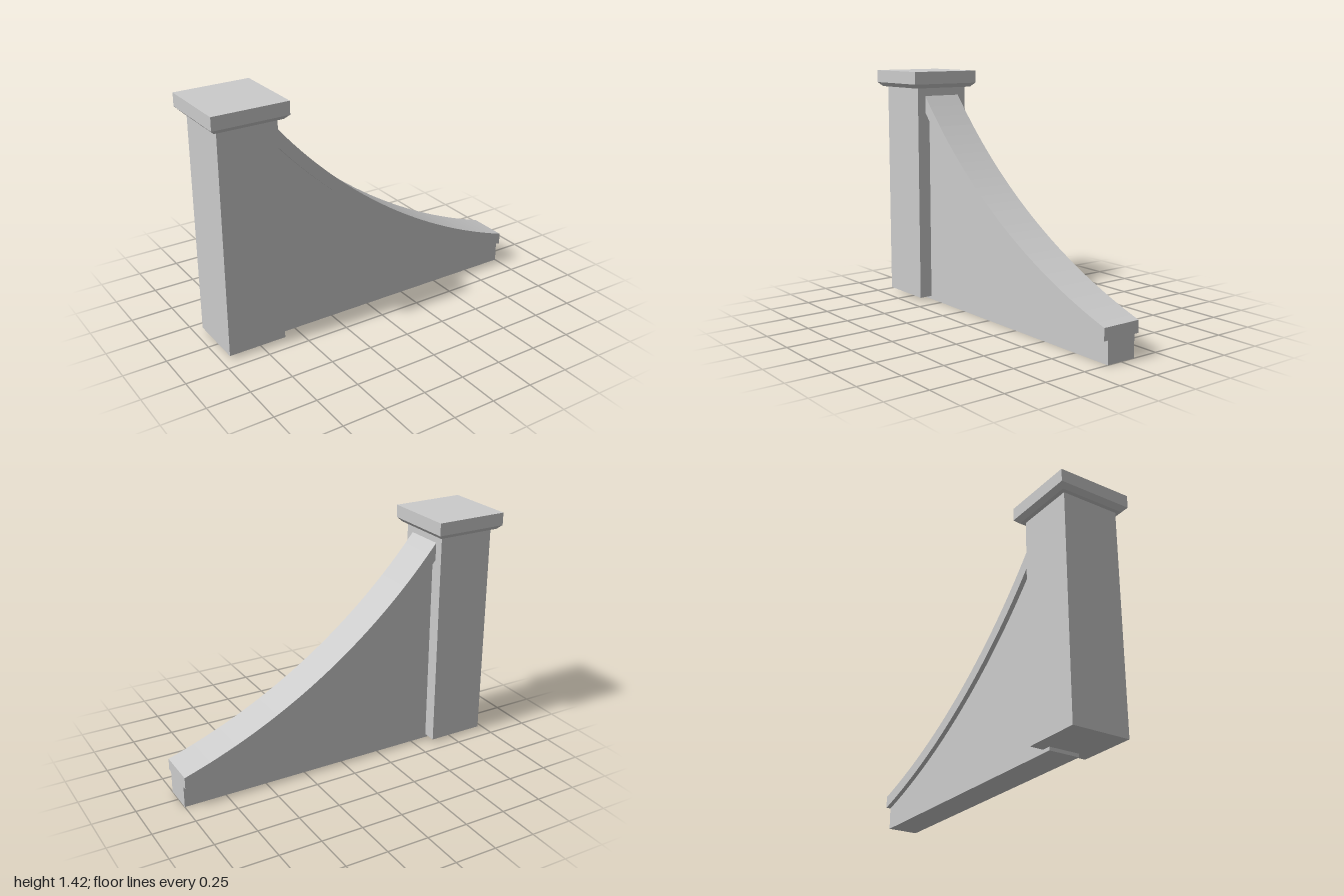
import * as THREE from 'three';

const material = new THREE.MeshStandardMaterial({ color: 0xcccccc, flatShading: true });

// Centre and radii of the concentric arcs of the sweeping wall
const CX = 2.016, CY = 3.455, R_TOP = 3.41, R_LOW = 3.477;
const X_START = -0.66, X_END = 1, STEPS = 32;

function arc(radius) {
  const points = [];
  for (let i = 0; i <= STEPS; i++) {
    const x = X_START + (X_END - X_START) * i / STEPS;
    points.push(new THREE.Vector2(x, CY - Math.sqrt(radius ** 2 - (x - CX) ** 2)));
  }
  return points;
}

function addMesh(group, name, geometry) {
  const mesh = new THREE.Mesh(geometry, material);
  mesh.name = name;
  group.add(mesh);
  return mesh;
}

// Side outline extruded symmetrically about z = 0
function slab(points, depth) {
  const geometry = new THREE.ExtrudeGeometry(new THREE.Shape(points), { depth, bevelEnabled: false });
  return geometry.translate(0, 0, -depth / 2);
}

export function createModel() {
  const group = new THREE.Group();
  group.name = 'sweptWallWithPillar';

  // Square pillar
  addMesh(group, 'pillar', new THREE.BoxGeometry(0.345, 1.31, 0.346)).position.set(-0.78, 0.675, 0);

  // Pillar cap: a slab over a chamfered underside
  addMesh(group, 'capSlab', new THREE.BoxGeometry(0.44, 0.075, 0.444)).position.set(-0.78, 1.3875, 0);
  const chamfer = new THREE.CylinderGeometry(0.222 * Math.SQRT2, 0.197 * Math.SQRT2, 0.025, 4, 1);
  chamfer.rotateY(Math.PI / 4).scale(0.22 / 0.222, 1, 1);
  addMesh(group, 'capChamfer', chamfer).position.set(-0.78, 1.3375, 0);

  // Wall below the coping
  const wall = [new THREE.Vector2(X_START, 0), new THREE.Vector2(X_END, 0), ...arc(R_LOW).reverse()];
  addMesh(group, 'wall', slab(wall, 0.184));

  // Wider curved coping
  addMesh(group, 'coping', slab([...arc(R_LOW), ...arc(R_TOP).reverse()], 0.24));

  return group;
}
